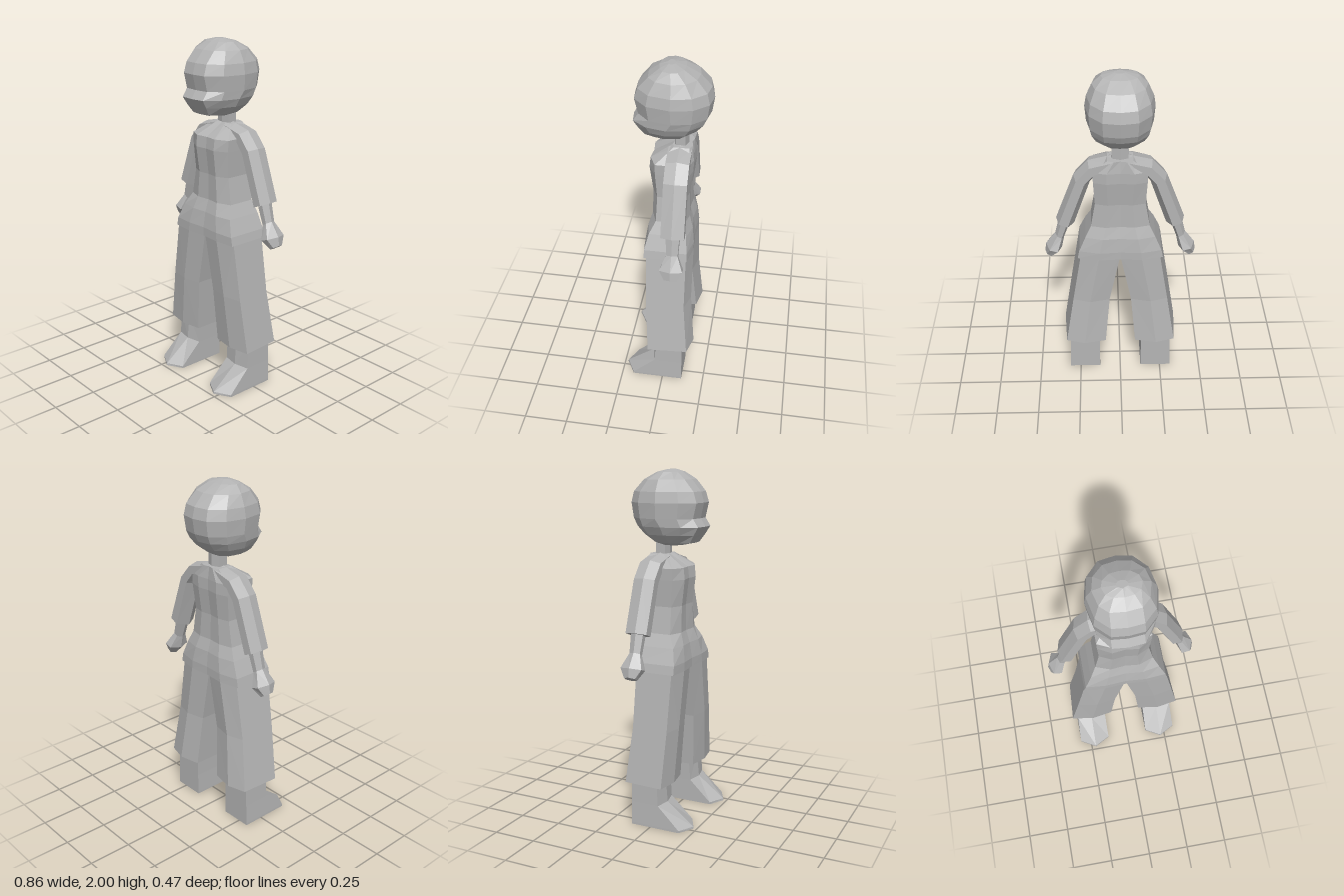
import * as THREE from 'three';

// Skin a list of equal-length rings of [x, y, z] points and close both ends.
function loft(rings) {
  const tris = [];
  const n = rings[0].length;
  for (let r = 0; r < rings.length - 1; r++) {
    for (let i = 0; i < n; i++) {
      const j = (i + 1) % n;
      const a = rings[r][i], b = rings[r][j], c = rings[r + 1][j], d = rings[r + 1][i];
      tris.push([a, b, c], [a, c, d]);
    }
  }
  const centre = ring => [0, 1, 2].map(k => ring.reduce((s, p) => s + p[k], 0) / n);
  const first = rings[0], last = rings[rings.length - 1];
  const c0 = centre(first), c1 = centre(last);
  for (let i = 0; i < n; i++) {
    const j = (i + 1) % n;
    tris.push([c0, first[j], first[i]], [c1, last[i], last[j]]);
  }
  // Turn the faces outward, whichever way the rings run
  const v = tris.map(t => t.map(p => new THREE.Vector3(...p)));
  const volume = v.reduce((s, [a, b, c]) => s + a.dot(b.clone().cross(c)), 0);
  if (volume < 0) v.forEach(t => t.reverse());
  const geometry = new THREE.BufferGeometry().setFromPoints(v.flat());
  geometry.computeVertexNormals();
  return geometry;
}

// Half outline [x, z] from front centre to back centre, completed by mirroring
function symmetricRing(half, height) {
  const other = half.slice(1, -1).reverse().map(([x, z]) => [-x, z]);
  return [...half, ...other].map(([x, z]) => [x, height(z), z]);
}

export function createModel() {
  const model = new THREE.Group();
  model.name = 'figure';
  const grey = new THREE.MeshStandardMaterial({ color: 0xb4b4b4 });
  grey.name = 'plain grey';
  grey.flatShading = true;

  function add(name, rings, parent = model) {
    const mesh = new THREE.Mesh(loft(rings), grey);
    mesh.name = name;
    parent.add(mesh);
  }

  // Head: y, half width, front z, back z, half width of the face panel
  const head = [
    [1.585, 0.06, 0.06, -0.05, 0.035],
    [1.60, 0.10, 0.135, -0.10, 0.065],
    [1.645, 0.145, 0.165, -0.16, 0.08],
    [1.69, 0.168, 0.193, -0.20, 0.085],
    [1.735, 0.178, 0.163, -0.222, 0.085],
    [1.82, 0.185, 0.183, -0.235, 0.085],
    [1.88, 0.175, 0.165, -0.22, 0.083],
    [1.945, 0.145, 0.11, -0.16, 0.08],
    [1.985, 0.10, 0.055, -0.085, 0.05],
    [2.0, 0.03, 0.015, -0.03, 0.015],
  ];
  add('head', head.map(([y, w, f, b, panel]) => symmetricRing([
    [0, f], [panel, f - 0.008], [w * 0.86, f * 0.58 - 0.005], [w, (f + b) * 0.5],
    [w * 0.88, b * 0.6], [w * 0.5, b * 0.93], [0, b],
  ], () => y)));

  // Neck
  add('neck', [1.51, 1.62].map(y => symmetricRing(
    [[0, -0.025], [0.045, -0.035], [0.045, -0.09], [0, -0.105]], () => y)));

  // Torso: y, half width, front z at middle and side, back z at side and middle
  const torso = [
    [0.89, 0.245, 0.123, 0.113, -0.13, -0.155],
    [0.94, 0.235, 0.123, 0.113, -0.13, -0.155],
    [1.03, 0.198, 0.108, 0.09, -0.12, -0.145],
    [1.10, 0.165, 0.085, 0.055, -0.105, -0.125],
    [1.25, 0.14, 0.083, 0.05, -0.105, -0.122],
    [1.40, 0.148, 0.102, 0.06, -0.12, -0.14],
    [1.465, 0.15, 0.095, 0.06, -0.12, -0.14],
    [1.535, 0.07, -0.02, -0.03, -0.115, -0.13],
  ];
  add('torso', torso.map(([y, w, fm, fs, bs, bm]) => symmetricRing(
    [[0, fm - 0.008], [w * 0.5, fm], [w, fs], [w, bs], [w * 0.5, bm], [0, bm + 0.008]], () => y)));

  for (const side of [1, -1]) {
    const limb = new THREE.Group();
    limb.name = side > 0 ? 'leftLimbs' : 'rightLimbs';
    model.add(limb);
    const mirror = rings => rings.map(ring => ring.map(([x, y, z]) => [side * x, y, z]));

    // Wide trouser leg: y, inner x, outer x, front z, back z
    const trouser = [
      [0.255, 0.09, 0.344, 0.105, -0.178],
      [0.57, 0.064, 0.295, 0.118, -0.153],
      [0.90, 0, 0.243, 0.123, -0.155],
    ];
    add('trouserLeg', mirror(trouser.map(([y, a, b, f, k]) => {
      const m = (a + b) / 2;
      return [[a, y, f - 0.02], [m, y, f], [b, y, f - 0.022],
        [b - 0.015, y, k + 0.03], [m, y, k], [a, y, k + 0.025]];
    })), limb);

    // Ankle and pointed foot: y, inner x, outer x, corner z, tip z
    const foot = [
      [0, 0.128, 0.316, 0.18, 0.232],
      [0.012, 0.128, 0.316, 0.18, 0.23],
      [0.135, 0.129, 0.311, 0.048, 0.066],
      [0.28, 0.127, 0.307, 0.038, 0.052],
    ];
    add('foot', mirror(foot.map(([y, a, b, c, tip]) => [
      [a, y, c], [(a + b) / 2, y, tip], [b, y, c], [b, y, -0.118], [a, y, -0.118]])), limb);

    // Sleeve: upper edge x, y then lower edge x, y
    const sleeve = [
      [0.05, 1.54, 0.05, 1.45],
      [0.175, 1.51, 0.13, 1.42],
      [0.255, 1.42, 0.165, 1.375],
      [0.36, 1.135, 0.26, 1.095],
    ];
    const section = [[0, -0.062], [0.16, 0], [0.66, 0], [1, -0.062], [0.66, -0.128], [0.16, -0.128]];
    add('sleeve', mirror(sleeve.map(([ox, oy, ix, iy]) => section.map(
      ([t, z]) => [ox + (ix - ox) * t, oy + (iy - oy) * t, z]))), limb);

    // Forearm and fist: outer x, y, inner x, y, half depth
    const hand = [
      [0.345, 1.13, 0.285, 1.10, 0.037],
      [0.37, 1.03, 0.32, 1.0, 0.032],
      [0.425, 0.955, 0.335, 0.925, 0.064],
      [0.432, 0.905, 0.386, 0.875, 0.034],
    ];
    const fist = [[0, 0], [0.25, 1], [0.75, 1], [1, 0], [0.75, -1], [0.25, -1]];
    add('forearmAndHand', mirror(hand.map(([ox, oy, ix, iy, d]) => fist.map(
      ([t, z]) => [ox + (ix - ox) * t, oy + (iy - oy) * t, -0.065 + z * d]))), limb);
  }
  return model;
}
